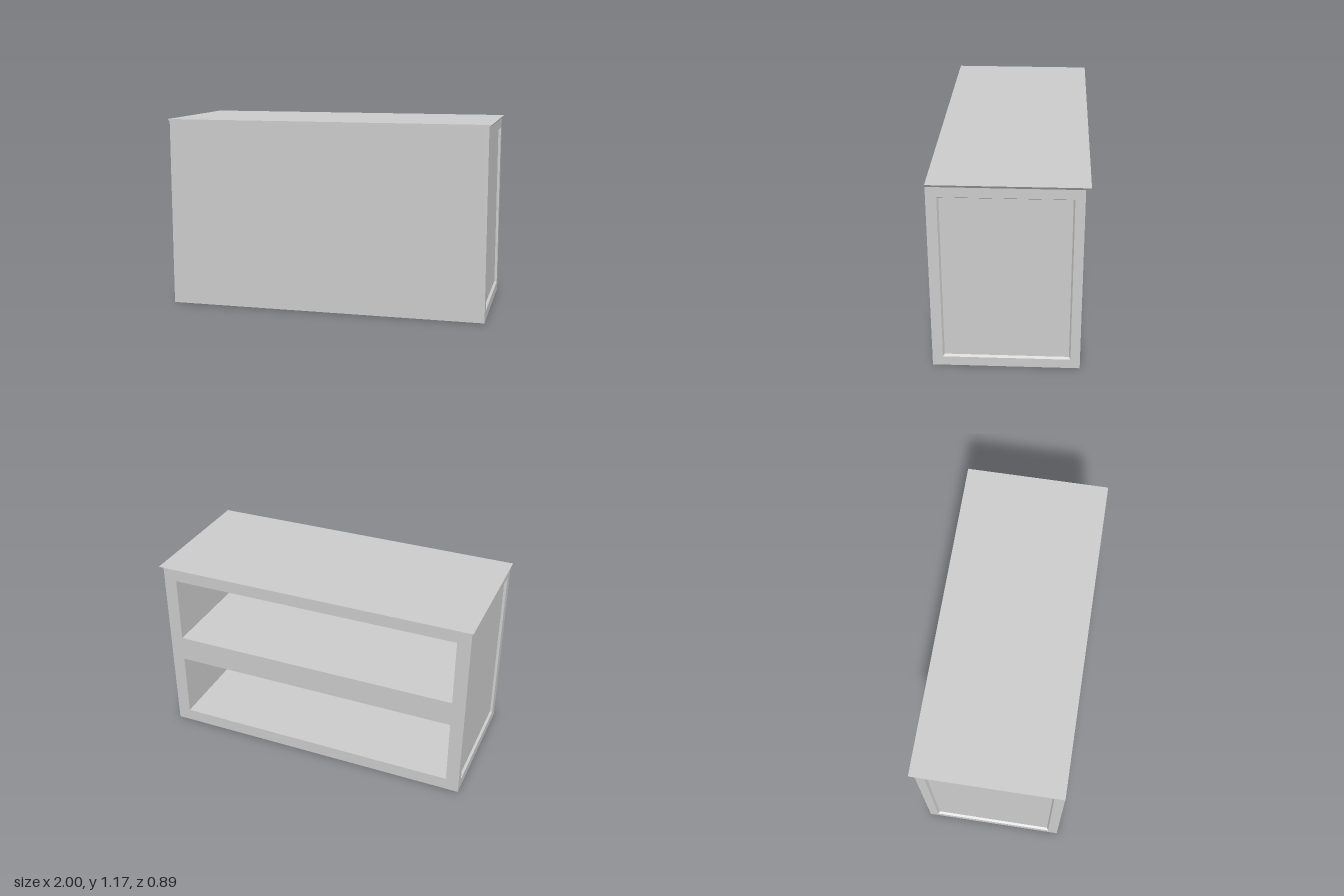
import * as THREE from 'three';

const material = new THREE.MeshStandardMaterial({ color: 0xcccccc });

// Overall measures
const HALF_W = 0.987, HEIGHT = 1.155, FRONT = 0.445, BACK = -0.415;
const CORE = 0.95, FRONT_THICK = 0.08;

function addMesh(group, name, geometry) {
  const mesh = new THREE.Mesh(geometry, material);
  mesh.name = name;
  group.add(mesh);
  return mesh;
}

function rectangle(Type, x0, y0, x1, y1) {
  return new Type([[x0, y0], [x1, y0], [x1, y1], [x0, y1]].map(([x, y]) => new THREE.Vector2(x, y)));
}

// Joins rectangles [x0, y0, x1, y1, z] in order and closes the last one, facing +z
function loftRects(rects) {
  const loops = rects.map(([x0, y0, x1, y1, z]) => [[x0, y0, z], [x1, y0, z], [x1, y1, z], [x0, y1, z]]);
  const points = [];
  const quad = (a, b, c, d) => points.push(...a, ...b, ...c, ...a, ...c, ...d);
  for (let k = 0; k + 1 < loops.length; k++) {
    for (let i = 0; i < 4; i++) {
      const j = (i + 1) % 4;
      quad(loops[k][i], loops[k][j], loops[k + 1][j], loops[k + 1][i]);
    }
  }
  quad(...loops[loops.length - 1]);
  const geometry = new THREE.BufferGeometry();
  geometry.setAttribute('position', new THREE.Float32BufferAttribute(points, 3));
  geometry.computeVertexNormals();
  return geometry;
}

export function createModel() {
  const group = new THREE.Group();
  group.name = 'counter';

  // Carcass with two compartments open at the back
  const frame = rectangle(THREE.Shape, -CORE, 0, CORE, HEIGHT);
  for (const [y0, y1] of [[0.078, 0.497], [0.657, 1.076]]) {
    frame.holes.push(rectangle(THREE.Path, -0.905, y0, 0.905, y1));
  }
  const depth = FRONT - FRONT_THICK - BACK;
  const carcass = addMesh(group, 'shelfCarcass',
    new THREE.ExtrudeGeometry(frame, { depth, bevelEnabled: false }));
  carcass.position.z = BACK;

  // Plain front panel closing the compartments
  const front = addMesh(group, 'frontPanel', new THREE.BoxGeometry(CORE * 2, HEIGHT, FRONT_THICK));
  front.position.set(0, HEIGHT / 2, FRONT - FRONT_THICK / 2);

  // Side panels with a bevelled recess
  for (const side of [1, -1]) {
    const rect = (zBack, y0, zFront, y1, out) =>
      side > 0 ? [-zFront, y0, -zBack, y1, out] : [zBack, y0, zFront, y1, out];
    const panel = addMesh(group, side > 0 ? 'leftSidePanel' : 'rightSidePanel', loftRects([
      rect(BACK, 0, FRONT, HEIGHT, CORE),
      rect(BACK, 0, FRONT, HEIGHT, HALF_W),
      rect(-0.36, 0.059, 0.384, 1.096, HALF_W),
      rect(-0.351, 0.068, 0.375, 1.087, HALF_W - 0.015),
    ]));
    panel.rotation.y = side * Math.PI / 2;
  }

  // Top flaring out at the sides and back, flush at the front
  const top = addMesh(group, 'counterTop', loftRects([
    [-HALF_W, -FRONT, HALF_W, -BACK, HEIGHT],
    [-1, -FRONT, 1, 0.445, 1.172],
  ]));
  top.rotation.x = -Math.PI / 2;

  return group;
}
